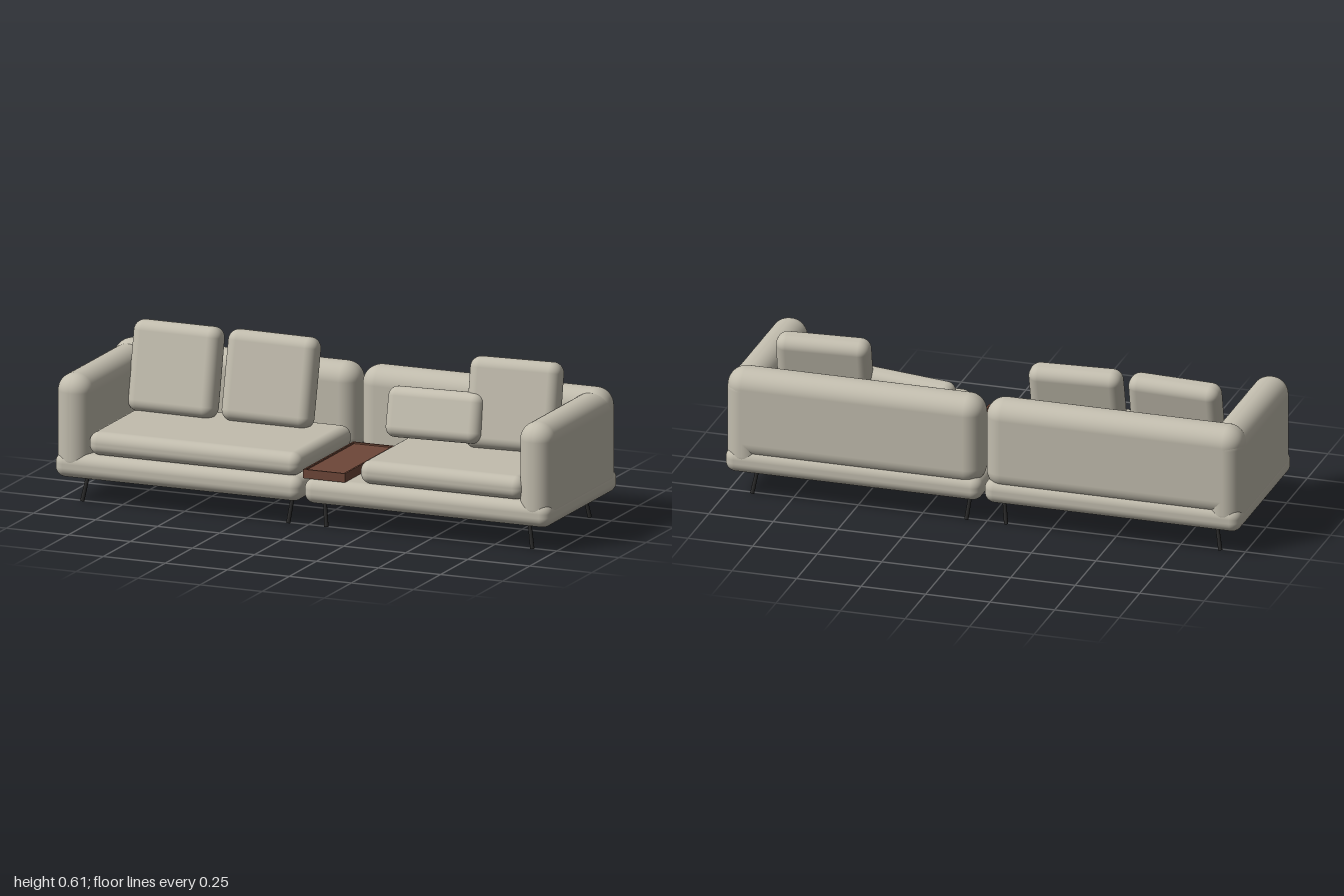
import * as THREE from 'three';
import { RoundedBoxGeometry } from 'three/addons/geometries/RoundedBoxGeometry.js';

export function createModel() {
  const model = new THREE.Group();
  model.name = 'sofa';
  const material = (name, color) => {
    const m = new THREE.MeshStandardMaterial({ color });
    m.name = name;
    return m;
  };
  const fabric = material('fabric', 0xc2bdae);
  const wood = material('wood', 0x6e4738);
  const metal = material('darkMetal', 0x2a2a2a);
  const rad = THREE.MathUtils.degToRad;

  const add = (parent, name, geometry, mat) => {
    const mesh = new THREE.Mesh(geometry, mat);
    mesh.name = name;
    parent.add(mesh);
    return mesh;
  };
  // Soft block given by its extents on each axis
  const softBlock = (parent, name, [x0, x1], [y0, y1], [z0, z1], r) => {
    const g = new RoundedBoxGeometry(x1 - x0, y1 - y0, z1 - z0, 6, r);
    add(parent, name, g, fabric).position.set((x0 + x1) / 2, (y0 + y1) / 2, (z0 + z1) / 2);
  };
  const span = (side, a, b) => (side > 0 ? [a, b] : [-b, -a]);

  // Two mirrored sections: base, backrest, arm and legs
  for (const side of [-1, 1]) {
    const section = new THREE.Group();
    section.name = side > 0 ? 'leftSection' : 'rightSection';
    model.add(section);
    softBlock(section, 'base', span(side, 0.004, 1), [0.095, 0.19], [-0.327, 0.327], 0.04);
    softBlock(section, 'backrest', span(side, 0.004, 1), [0.15, 0.5], [-0.327, -0.185], 0.068);
    softBlock(section, 'arm', span(side, 0.863, 1), [0.1, 0.487], [-0.327, 0.327], 0.066);

    // Splayed legs
    for (const [topX, footX] of [[0.064, 0.077], [0.888, 0.907]]) {
      for (const z of [-1, 1]) {
        const top = new THREE.Vector3(side * topX, 0.105, z * 0.249);
        const foot = new THREE.Vector3(side * footX, 0.001, z * 0.264);
        const axis = top.clone().sub(foot);
        const leg = add(section, 'leg', new THREE.CylinderGeometry(0.007, 0.008, axis.length(), 12), metal);
        leg.position.copy(top).add(foot).multiplyScalar(0.5);
        leg.quaternion.setFromUnitVectors(new THREE.Vector3(0, 1, 0), axis.normalize());
      }
    }
  }

  // Seat cushions
  softBlock(model, 'wideSeatCushion', [-0.865, -0.01], [0.19, 0.279], [-0.19, 0.322], 0.04);
  softBlock(model, 'narrowSeatCushion', [0.228, 0.89], [0.19, 0.279], [-0.19, 0.322], 0.04);

  // Loose cushions: size, centre, then lean, yaw and roll in degrees
  const cushion = (name, size, centre, lean, yaw, roll, r) => {
    const mesh = add(model, name, new RoundedBoxGeometry(...size, 6, r), fabric);
    mesh.position.set(...centre);
    mesh.rotation.set(rad(-lean), rad(yaw), rad(roll), 'YXZ');
  };
  const large = [0.358, 0.342, 0.097];
  cushion('backCushion', large, [-0.693, 0.439, -0.113], 12, -2.5, 0.5, 0.042);
  cushion('backCushion', large, [-0.31, 0.439, -0.113], 12, 2, -1, 0.042);
  cushion('backCushion', large, [0.672, 0.439, -0.11], 12, 4, 0, 0.042);
  cushion('lumbarPillow', [0.4, 0.19, 0.085], [0.372, 0.38, -0.073], 15, -6, 2.5, 0.038);

  // Wooden tray with a low rim
  const tray = new THREE.Group();
  tray.name = 'trayTable';
  tray.position.set(0.088, 0, 0.081);
  model.add(tray);
  const w = 0.168, d = 0.46, t = 0.007;
  add(tray, 'trayBoard', new THREE.BoxGeometry(w - t, 0.028, d - t), wood).position.y = 0.204;
  for (const s of [-1, 1]) {
    add(tray, 'sideRim', new THREE.BoxGeometry(t, 0.034, d), wood).position.set(s * (w - t) / 2, 0.207, 0);
    add(tray, 'endRim', new THREE.BoxGeometry(w - 2 * t, 0.034, t), wood).position.set(0, 0.207, s * (d - t) / 2);
  }
  return model;
}
